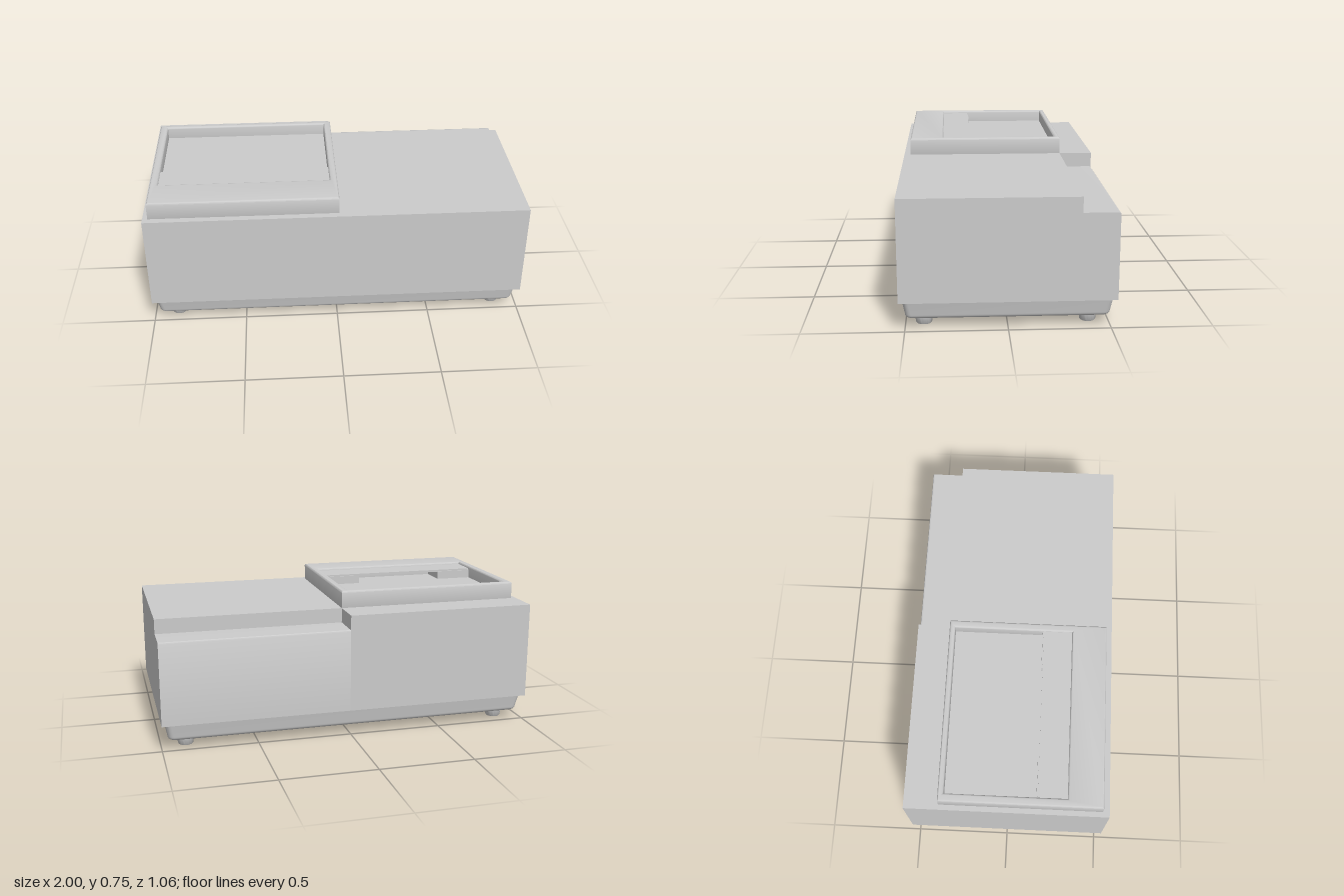
import * as THREE from 'three';
import { toCreasedNormals } from 'three/addons/utils/BufferGeometryUtils.js';

const material = new THREE.MeshStandardMaterial({ color: 0xcccccc });

function add(parent, name, geometry, x = 0, y = 0, z = 0) {
  const mesh = new THREE.Mesh(geometry, material);
  mesh.name = name;
  mesh.position.set(x, y, z);
  parent.add(mesh);
  return mesh;
}

// Box given by its limits on each axis
function slab(parent, name, [x0, x1], [y0, y1], [z0, z1]) {
  const g = new THREE.BoxGeometry(x1 - x0, y1 - y0, z1 - z0);
  return add(parent, name, g, (x0 + x1) / 2, (y0 + y1) / 2, (z0 + z1) / 2);
}

function rectangle(path, x0, x1, y0, y1) {
  path.moveTo(x0, y0);
  path.lineTo(x1, y0);
  path.lineTo(x1, y1);
  path.lineTo(x0, y1);
  path.closePath();
  return path;
}

// Side profile (z, y) extruded along x
function alongX(shape, x0, x1) {
  const g = new THREE.ExtrudeGeometry(shape, { depth: x1 - x0, bevelEnabled: false });
  g.rotateY(-Math.PI / 2); // profile x becomes z, depth becomes -x
  g.translate(x1, 0, 0);
  return g;
}

// Solid skin through rounded-rectangle rings, each [half x, half z, y], bottom to top
function loft(rings, radius, steps = 5) {
  const pos = [], index = [], n = 4 * (steps + 1);
  for (const [hx, hz, y] of rings) {
    for (let c = 0; c < 4; c++) {
      const sx = c === 0 || c === 3 ? 1 : -1, sz = c < 2 ? 1 : -1;
      for (let i = 0; i <= steps; i++) {
        const a = (c + i / steps) * Math.PI / 2;
        pos.push(sx * (hx - radius) + radius * Math.cos(a), y,
          sz * (hz - radius) + radius * Math.sin(a));
      }
    }
  }
  for (let r = 0; r < rings.length - 1; r++) {
    for (let i = 0; i < n; i++) {
      const a = r * n + i, b = r * n + (i + 1) % n;
      index.push(a, a + n, b, b, a + n, b + n);
    }
  }
  const top = (rings.length - 1) * n;
  for (let i = 1; i < n - 1; i++) {
    index.push(0, i, i + 1);
    index.push(top, top + i + 1, top + i);
  }
  const g = new THREE.BufferGeometry();
  g.setAttribute('position', new THREE.Float32BufferAttribute(pos, 3));
  g.setIndex(index);
  return toCreasedNormals(g, 0.6);
}

export function createModel() {
  const model = new THREE.Group();
  model.name = 'deviceHousing';

  // Main housing: full height on one half, stepped at the back on the other
  const body = new THREE.Group();
  body.name = 'body';
  model.add(body);
  add(body, 'fullHeightHalf',
    alongX(rectangle(new THREE.Shape(), -0.53, 0.53, 0.143, 0.66), -1, 0.01));
  const stepped = new THREE.Shape();
  stepped.moveTo(-0.53, 0.143);
  stepped.lineTo(0.53, 0.143);
  stepped.lineTo(0.53, 0.66);
  stepped.lineTo(-0.35, 0.66);
  stepped.lineTo(-0.35, 0.582);
  stepped.lineTo(-0.52, 0.582);
  stepped.quadraticCurveTo(-0.53, 0.582, -0.53, 0.572);
  add(body, 'steppedHalf', toCreasedNormals(alongX(stepped, 0.01, 1), 0.6));

  // Tapered base tray with a rounded lower edge
  const rings = [];
  for (let i = 0; i <= 5; i++) {
    const a = i / 5 * Math.PI / 2, out = 0.022 * Math.sin(a);
    rings.push([0.946 + out, 0.478 + out, 0.072 - 0.022 * Math.cos(a)]);
  }
  rings.push([0.983, 0.515, 0.15]);
  add(model, 'baseTray', loft(rings, 0.03));

  // Four tapered feet
  const footProfile = [[0, 0], [0.037, 0], [0.04, 0.004], [0.046, 0.045], [0.047, 0.06]]
    .map(([r, y]) => new THREE.Vector2(r, y));
  const footGeometry = toCreasedNormals(new THREE.LatheGeometry(footProfile, 28), 0.6);
  for (const x of [-0.87, 0.87]) {
    for (const z of [-0.4, 0.41]) add(model, 'foot', footGeometry, x, 0, z);
  }

  // Raised panel: softly edged frame around a recess
  const panel = new THREE.Group();
  panel.name = 'raisedPanel';
  model.add(panel);
  const frame = rectangle(new THREE.Shape(), -0.973, 0.01, -0.495, 0.35);
  frame.holes.push(rectangle(new THREE.Path(), -0.93, -0.03, -0.31, 0.32));
  const frameGeometry = new THREE.ExtrudeGeometry(frame, {
    depth: 0.09, bevelThickness: 0.01, bevelSize: 0.01, bevelOffset: -0.01, bevelSegments: 3,
  });
  frameGeometry.rotateX(-Math.PI / 2);
  add(panel, 'panelFrame', toCreasedNormals(frameGeometry, 0.6), 0, 0.652, 0);
  slab(panel, 'recessFloor', [-0.935, -0.025], [0.65, 0.685], [-0.325, 0.315]);

  // Cover strip bridging the front of the recess, carried by a block at each end
  slab(panel, 'coverStrip', [-0.935, -0.025], [0.727, 0.739], [0.158, 0.315]);
  slab(panel, 'stripSupport', [-0.935, -0.73], [0.68, 0.73], [0.152, 0.315]);
  slab(panel, 'stripSupport', [-0.235, -0.025], [0.68, 0.73], [0.152, 0.315]);

  return model;
}
